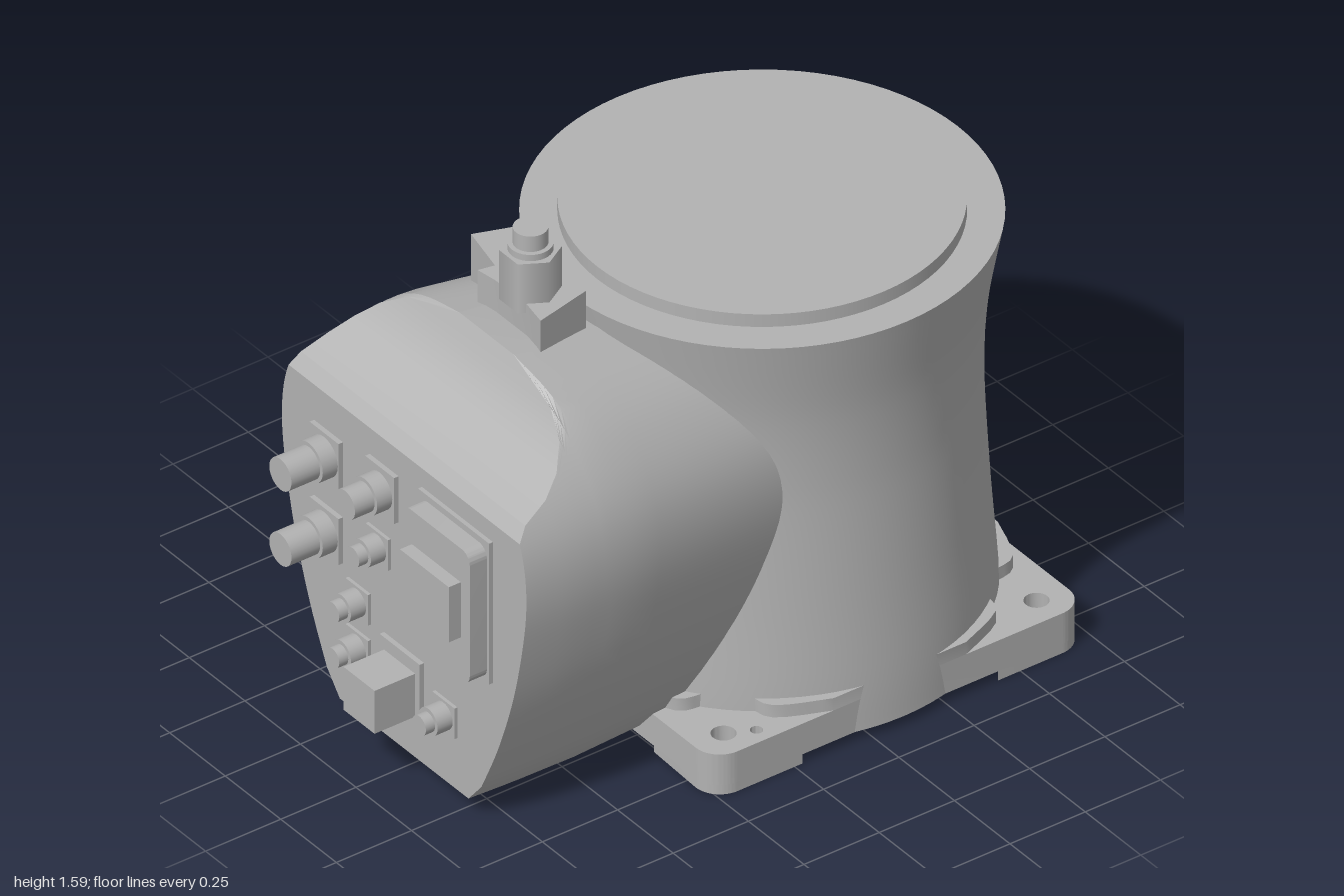
import * as THREE from 'three';
import { toCreasedNormals } from 'three/addons/utils/BufferGeometryUtils.js';

const CX = 0.35; // column axis
const V = (x, y) => new THREE.Vector2(x, y);

export function createModel() {
  const model = new THREE.Group();
  const grey = new THREE.MeshStandardMaterial({ color: 0xb2b2b2 });
  grey.name = 'grey metal';

  const add = (name, geo, x = 0, y = 0, z = 0) => {
    const m = new THREE.Mesh(geo, grey);
    m.name = name;
    m.position.set(x, y, z);
    model.add(m);
    return m;
  };
  const box = (name, x0, x1, y0, y1, z0, z1) =>
    add(name, new THREE.BoxGeometry(x1 - x0, y1 - y0, z1 - z0), (x0 + x1) / 2, (y0 + y1) / 2, (z0 + z1) / 2);

  // Slab from a plan outline (x, -z) between two heights
  const slab = (name, shape, y0, y1, x = 0) => {
    const g = new THREE.ExtrudeGeometry(shape, { depth: y1 - y0, bevelEnabled: false, curveSegments: 16 });
    g.rotateX(-Math.PI / 2);
    return add(name, toCreasedNormals(g, 0.6), x, y0, 0);
  };
  const hole = (x, y, r) => new THREE.Path().absarc(x, y, r, 0, Math.PI * 2, true);

  // Column with flared top and bottom
  const profile = new THREE.SplineCurve([
    V(0.638, 0.03), V(0.632, 0.17), V(0.613, 0.42), V(0.597, 0.7), V(0.594, 0.85),
    V(0.6, 1.0), V(0.615, 1.13), V(0.65, 1.325),
  ]).getPoints(28);
  const column = new THREE.LatheGeometry([V(0, 0.03), V(0.637, 0.03), ...profile, V(0.65, 1.325), V(0, 1.325)], 80);
  add('column', toCreasedNormals(column, 0.6), CX);
  add('lid', new THREE.CylinderGeometry(0.548, 0.548, 0.042, 80), CX, 1.345);

  // Base plate, raised deck with corner pockets, and feet
  const H = 0.62, R = 0.08, HX = 0.52, HZ = 0.53;
  const plate = new THREE.Shape();
  plate.moveTo(H, -H + R);
  plate.absarc(H - R, H - R, R, 0, Math.PI / 2);
  plate.absarc(-H + R, H - R, R, Math.PI / 2, Math.PI);
  plate.absarc(-H + R, -H + R, R, Math.PI, Math.PI * 1.5);
  plate.absarc(H - R, -H + R, R, Math.PI * 1.5, Math.PI * 2);
  const corners = [[1, 1], [-1, 1], [-1, -1], [1, -1]];
  const pins = [[0.42, 0.57], [-0.44, -0.57]];
  for (const [sx, sz] of corners) plate.holes.push(hole(sx * HX, sz * HZ, 0.035));
  for (const [x, z] of pins) plate.holes.push(hole(x, z, 0.018));
  slab('basePlate', plate, 0.03, 0.13, CX);

  const pocket = new THREE.SplineCurve([
    V(0.62, 0.22), V(0.56, 0.37), V(0.47, 0.4), V(0.4, 0.46), V(0.37, 0.55), V(0.22, 0.62),
  ]).getPoints(20);
  const deck = [];
  corners.forEach(([sx, sz], i) => {
    const pts = pocket.map(p => V(p.x * sx, p.y * sz));
    deck.push(...(i % 2 ? pts.reverse() : pts));
  });
  slab('baseDeck', new THREE.Shape(deck), 0.13, 0.17, CX);

  const foot = new THREE.Shape();
  const a = Math.atan2(0.325, H);
  foot.moveTo(H, 0.325);
  foot.absarc(H - R, H - R, R, 0, Math.PI / 2);
  foot.absarc(0, 0, 0.7, Math.PI / 2 - a, a, true);
  const footPts = foot.getPoints(12);
  for (const [sx, sz] of corners) {
    const s = new THREE.Shape(footPts.slice(0, -1).map(p => V(p.x * sx, p.y * sz)));
    s.holes.push(hole(sx * HX, sz * HZ, 0.035));
    for (const [x, z] of pins) if (x * sx > 0 && z * sz > 0) s.holes.push(hole(x, z, 0.018));
    slab('foot', s, 0, 0.03, CX);
  }

  add('housing', housingGeometry());

  // Connector panel on the -x face
  const F = -0.835;
  const barrel = (name, y, z, x0, x1, r) => {
    const g = new THREE.CylinderGeometry(r, r, x1 - x0, 24);
    g.rotateZ(Math.PI / 2);
    add(name, g, (x0 + x1) / 2, y, z);
  };
  // flange, collar and tip: [y, z, tip x, radius]
  for (const [y, z, tip, r] of [[0.83, -0.34, -1, 0.05], [0.585, -0.34, -1, 0.05], [0.86, -0.09, -0.97, 0.045]]) {
    box('connectorFlange', -0.855, F, y - 0.075, y + 0.075, z - 0.065, z + 0.065);
    barrel('connectorCollar', y, z, -0.905, F, r + 0.012);
    barrel('connectorTip', y, z, tip, -0.9, r);
  }
  for (const [y, z] of [[0.66, -0.11], [0.43, -0.2], [0.28, -0.2], [0.28, 0.19]]) {
    box('smallFlange', -0.85, F, y - 0.05, y + 0.05, z - 0.05, z + 0.05);
    barrel('smallCollar', y, z, -0.9, F, 0.042);
    barrel('smallTip', y, z, -0.93, -0.89, 0.03);
  }
  box('squareSocket', -0.99, F, 0.21, 0.35, -0.07, 0.07);
  box('socketFlange', -0.855, F, 0.17, 0.39, -0.09, 0.09);

  // Large rectangular connector with rounded frame
  const frame = new THREE.Shape();
  const [w, h, r] = [0.15, 0.215, 0.035];
  frame.moveTo(w, -h + r);
  frame.absarc(w - r, h - r, r, 0, Math.PI / 2);
  frame.absarc(-w + r, h - r, r, Math.PI / 2, Math.PI);
  frame.absarc(-w + r, -h + r, r, Math.PI, Math.PI * 1.5);
  frame.absarc(w - r, -h + r, r, Math.PI * 1.5, Math.PI * 2);
  const fg = new THREE.ExtrudeGeometry(frame, { depth: 0.075, bevelEnabled: false });
  fg.rotateY(-Math.PI / 2);
  add('mainConnectorFrame', toCreasedNormals(fg, 0.6), F, 0.725, 0.24);
  box('mainConnectorBlock', -0.95, F, 0.65, 0.83, 0.13, 0.35);
  box('mainConnectorPlate', -0.853, F, 0.5, 0.96, 0.08, 0.4);

  // Bracket and plug on top of the housing
  const bracket = new THREE.Shape([
    [-0.49, 0.14], [-0.31, 0.1], [-0.34, 0.06], [-0.35, 0], [-0.345, -0.08], [-0.32, -0.16],
    [-0.275, -0.25], [-0.4, -0.295], [-0.435, -0.14], [-0.485, -0.15], [-0.475, -0.08], [-0.475, 0.06],
  ].map(([x, z]) => V(x, -z)));
  slab('bracket', bracket, 1.24, 1.39);
  add('plugBody', new THREE.CylinderGeometry(0.085, 0.085, 0.16, 6), -0.42, 1.44);
  add('plugNeck', new THREE.CylinderGeometry(0.062, 0.062, 0.03, 32), -0.42, 1.525);
  add('plugTip', new THREE.CylinderGeometry(0.048, 0.048, 0.08, 32), -0.42, 1.55);

  return model;
}

// Piecewise linear lookup in [[key, value], ...]
function lerpTable(t, k) {
  if (k <= t[0][0]) return t[0][1];
  for (let i = 1; i < t.length; i++) {
    if (k <= t[i][0]) {
      const f = (k - t[i - 1][0]) / (t[i][0] - t[i - 1][0]);
      return t[i - 1][1] + f * (t[i][1] - t[i - 1][1]);
    }
  }
  return t[t.length - 1][1];
}

// Housing: bulging cross-sections lofted along x, with a concave scoop at the upper outer end
function housingGeometry() {
  const curve = new THREE.SplineCurve([
    V(0.13, 0.36), V(0.3, 0.44), V(0.5, 0.51), V(0.7, 0.555), V(0.84, 0.57), V(0.96, 0.558),
    V(1.06, 0.52), V(1.15, 0.455), V(1.22, 0.375), V(1.27, 0.27), V(1.3, 0.12),
  ]);
  const width = [[0.06, 0.3], ...curve.getPoints(80).map(p => [p.x, p.y])];
  const top = [[-0.84, 1.02], [-0.81, 1.06], [-0.73, 1.1], [-0.67, 1.145], [-0.62, 1.2], [-0.59, 1.25], [-0.565, 1.3]];
  const scale = [[-0.84, 0.965], [-0.7, 0.99], [-0.5, 1], [-0.05, 0.91], [0.15, 0.87]];
  const drop = [[-0.56, 1], [-0.2, 0.965], [0.15, 0.93]];
  const xs = [...top.map(p => p[0]), -0.5, -0.4, -0.3, -0.2, -0.1, -0.05, 0.05, 0.15];
  const N = 30, ring = 2 * (N + 2), pos = [], idx = [];

  for (const x of xs) {
    const yTop = lerpTable(top, x), s = lerpTable(scale, x), d = lerpTable(drop, x);
    const side = [[0.06, 0.3]];
    for (let i = 0; i <= N; i++) {
      const y = 0.13 + (yTop - 0.13) * Math.sin((i / N) * Math.PI / 2);
      side.push([y, lerpTable(width, y)]);
    }
    for (const [y, w] of side) pos.push(x, y * d, w * s);
    for (const [y, w] of side.reverse()) pos.push(x, y * d, -w * s);
  }
  for (let i = 0; i < xs.length - 1; i++) {
    for (let j = 0; j < ring; j++) {
      const k = (j + 1) % ring;
      const a = i * ring + j, b = i * ring + k, c = a + ring, e = b + ring;
      idx.push(a, c, b, b, c, e);
    }
  }
  // end caps, strip by strip
  const last = (xs.length - 1) * ring;
  for (let j = 0; j < N + 1; j++) {
    const m = ring - 1 - j;
    idx.push(j, j + 1, m, j + 1, m - 1, m);
    idx.push(last + j, last + m, last + j + 1, last + j + 1, last + m, last + m - 1);
  }
  const g = new THREE.BufferGeometry();
  g.setAttribute('position', new THREE.Float32BufferAttribute(pos, 3));
  g.setIndex(idx);
  return toCreasedNormals(g, 0.45);
}
